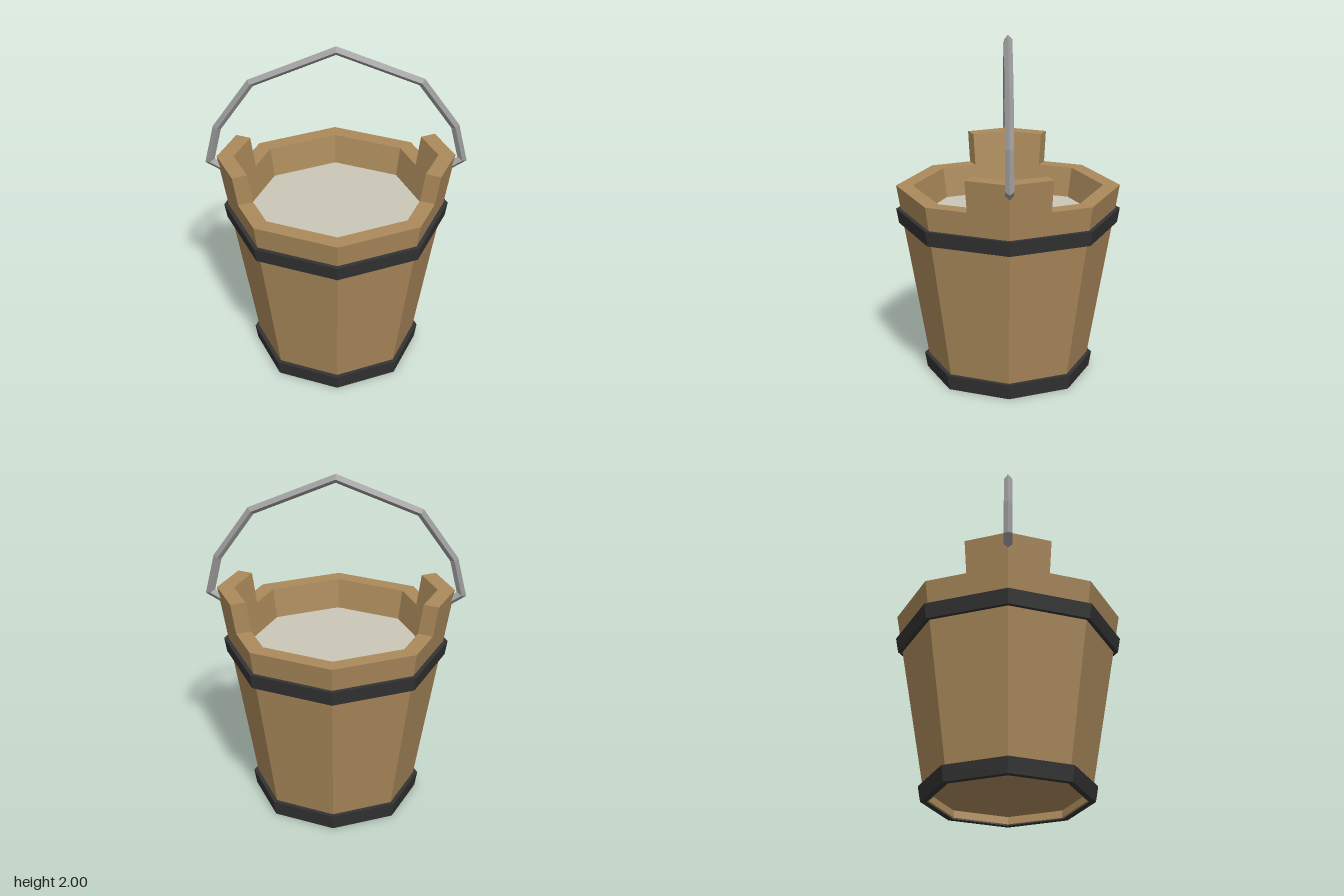
import * as THREE from 'three';

const paint = (color) => new THREE.MeshStandardMaterial({ color, flatShading: true });
const wood = paint(0xab8a5b);
const iron = paint(0x333333);
const steel = paint(0x9a9a9a);
const liquid = paint(0xcbc7b7);

const RIM = 1.127, EAR_TOP = 1.312, WALL = 0.097, TAPER = 0.169;
const outer = (y) => 0.457 + TAPER * y;
const inner = (y) => outer(y) - WALL;

function add(parent, name, geometry, material) {
  const mesh = new THREE.Mesh(geometry, material);
  mesh.name = name;
  parent.add(mesh);
  return mesh;
}

// Eight-sided ring or vessel from a profile of [radius, y]
const octagon = (profile) =>
  new THREE.LatheGeometry(profile.map(([r, y]) => new THREE.Vector2(r, y)), 8);

// Tapered band that hugs the staves
function hoopGeometry(y0, y1) {
  const t = 0.026;
  return octagon([
    [outer(y0) - 0.01, y0], [outer(y0) + t, y0], [outer(y1) + t, y1],
    [outer(y1) - 0.01, y1], [outer(y0) - 0.01, y0],
  ]);
}

// Raised stave pair: a chevron around one corner, flaring with the wall
function earGeometry() {
  const k = Math.SQRT1_2 / 2; // half way along an octagon side
  const at = (r, s) => new THREE.Vector2(r * (s ? (1 + Math.SQRT1_2) / 2 : 1), r * k * s);
  const ro = outer(RIM), ri = inner(RIM);
  const shape = new THREE.Shape([at(ro, -1), at(ro, 0), at(ro, 1), at(ri, 1), at(ri, 0), at(ri, -1)]);
  const geo = new THREE.ExtrudeGeometry(shape, { depth: EAR_TOP - RIM, bevelEnabled: false });
  geo.rotateX(-Math.PI / 2);
  const p = geo.attributes.position;
  for (let i = 0; i < p.count; i++) {
    const r = p.getX(i) + Math.tan(Math.PI / 8) * Math.abs(p.getZ(i));
    const f = 1 + (TAPER * p.getY(i)) / r;
    p.setXYZ(i, p.getX(i) * f, p.getY(i) + RIM, p.getZ(i) * f);
  }
  geo.computeVertexNormals();
  return geo;
}

// Four-sided bar with mitred corners along a path in the xy plane
function barGeometry(path, radius) {
  const pts = path.map(([x, y]) => new THREE.Vector2(x, y));
  const dirs = pts.slice(1).map((q, i) => q.clone().sub(pts[i]).normalize());
  const positions = [], index = [];
  pts.forEach((q, i) => {
    const a = dirs[Math.max(i - 1, 0)], b = dirs[Math.min(i, dirs.length - 1)];
    const d = a.clone().add(b).normalize();
    const miter = radius / d.dot(a);
    for (let j = 0; j < 4; j++) {
      const c = Math.cos((j * Math.PI) / 2) * miter, s = Math.sin((j * Math.PI) / 2) * radius;
      positions.push(q.x - d.y * c, q.y + d.x * c, s);
      if (i < pts.length - 1) {
        const m = i * 4 + j, n = i * 4 + ((j + 1) % 4);
        index.push(m, n, n + 4, m, n + 4, m + 4);
      }
    }
  });
  const geo = new THREE.BufferGeometry();
  geo.setAttribute('position', new THREE.Float32BufferAttribute(positions, 3));
  geo.setIndex(index);
  geo.computeVertexNormals();
  return geo;
}

export function createModel() {
  const bucket = new THREE.Group();
  bucket.name = 'bucket';

  // Staves with a recessed floor underneath
  add(bucket, 'staves', octagon([
    [0, 0.05], [0.44, 0.05], [0.435, 0.005], [outer(0.005), 0.005],
    [outer(RIM), RIM], [inner(RIM), RIM], [inner(0.9), 0.9],
  ]), wood);

  // Contents, just below the rim
  const fill = new THREE.CircleGeometry(inner(0.95), 8);
  fill.rotateX(-Math.PI / 2);
  add(bucket, 'liquid', fill, liquid).position.y = 0.95;

  // Hoops
  add(bucket, 'lowerHoop', hoopGeometry(0, 0.09), iron);
  add(bucket, 'upperHoop', hoopGeometry(0.902, 0.988), iron);

  // Ears that hold the handle
  const ear = earGeometry();
  add(bucket, 'leftEar', ear, wood);
  add(bucket, 'rightEar', ear, wood).rotation.y = Math.PI;

  // Handle, hooked into both ears
  const half = [[0.62, 1.225], [0.717, 1.287], [0.668, 1.5], [0.473, 1.78]];
  const path = [...half.map(([x, y]) => [-x, y]), [0, 1.974], ...half.slice().reverse()];
  add(bucket, 'handle', barGeometry(path, 0.024), steel);

  return bucket;
}
